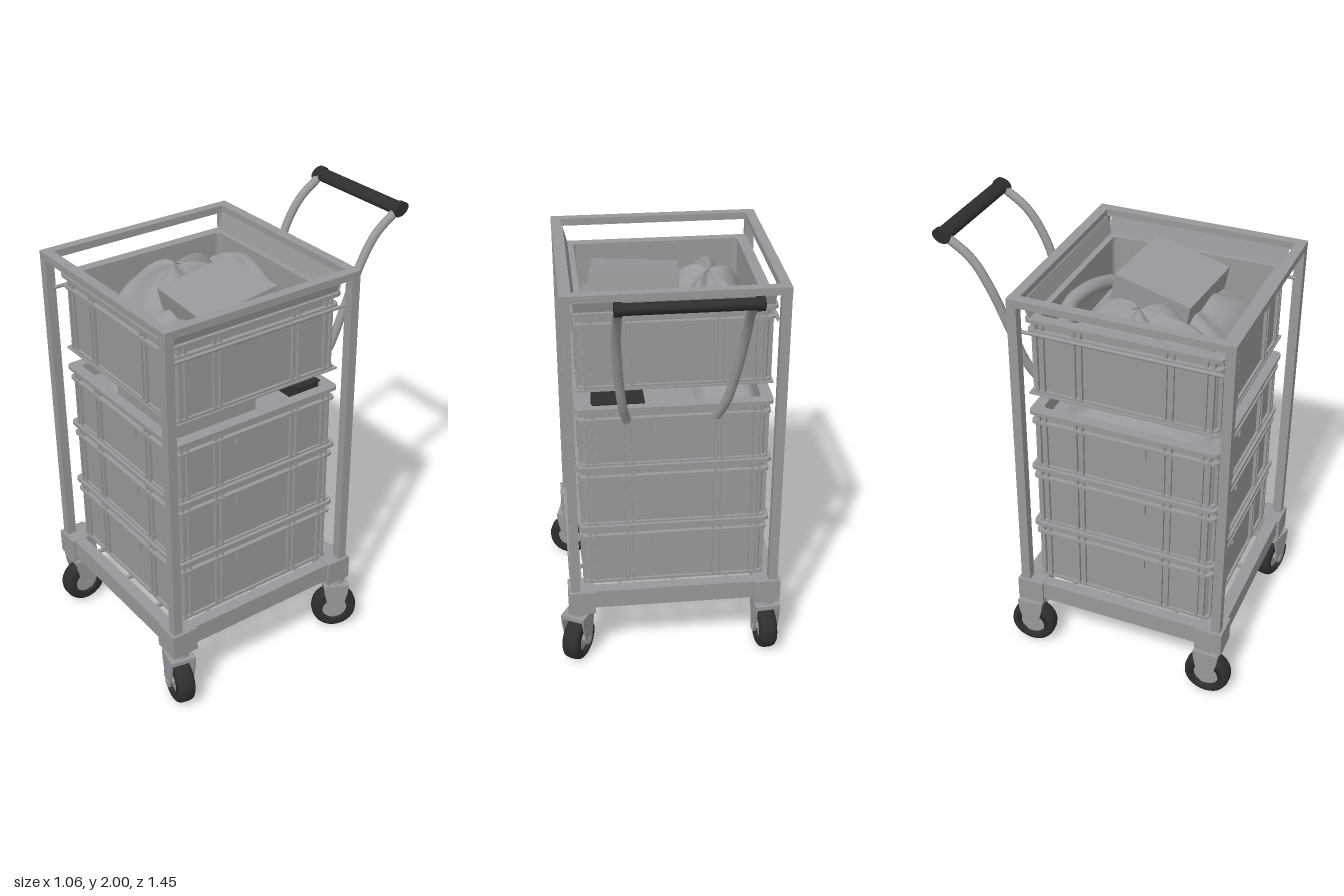
import * as THREE from 'three';
import { ParametricGeometry } from 'three/addons/geometries/ParametricGeometry.js';

const gray = new THREE.MeshStandardMaterial({ color: 0x97989b });
gray.name = 'gray metal and plastic';
const black = new THREE.MeshStandardMaterial({ color: 0x2e2e30 });
black.name = 'black rubber';

const CX = -0.027, CZ = 0.19; // centre of the stacked crates

function add(parent, name, geo, mat = gray, x = 0, y = 0, z = 0) {
  const m = new THREE.Mesh(geo, mat);
  m.name = name;
  m.position.set(x, y, z);
  parent.add(m);
  return m;
}

// box from min and max corners
function block(parent, name, a, b, mat = gray) {
  const g = new THREE.BoxGeometry(b[0] - a[0], b[1] - a[1], b[2] - a[2]);
  return add(parent, name, g, mat, (a[0] + b[0]) / 2, (a[1] + b[1]) / 2, (a[2] + b[2]) / 2);
}

function roundedRect(path, w, d, r) {
  path.moveTo(-w + r, -d);
  path.lineTo(w - r, -d).quadraticCurveTo(w, -d, w, -d + r);
  path.lineTo(w, d - r).quadraticCurveTo(w, d, w - r, d);
  path.lineTo(-w + r, d).quadraticCurveTo(-w, d, -w, d - r);
  path.lineTo(-w, -d + r).quadraticCurveTo(-w, -d, -w + r, -d);
  return path;
}

// hollow rectangular band of half size w x d, wall t, height h
function band(w, d, t, h, r = 0.03) {
  const s = roundedRect(new THREE.Shape(), w, d, r);
  s.holes.push(roundedRect(new THREE.Path(), w - t, d - t, r * 0.7));
  return new THREE.ExtrudeGeometry(s, { depth: h, bevelEnabled: false, curveSegments: 4 }).rotateX(-Math.PI / 2);
}

// ribbed open crate
function crate(y0, y1, grips) {
  const g = new THREE.Group();
  g.name = 'crate';
  g.position.set(CX, y0, CZ);
  const h = y1 - y0, w = 0.408, d = 0.402;
  add(g, 'crateWalls', band(w, d, 0.02, h - 0.005));
  block(g, 'crateFloor', [-w + 0.01, 0, -d + 0.01], [w - 0.01, 0.015, d - 0.01]);
  add(g, 'topRim', band(w + 0.028, d + 0.026, 0.05, 0.016), gray, 0, h - 0.016);
  add(g, 'lowerRim', band(w + 0.02, d + 0.02, 0.03, 0.012), gray, 0, h - 0.065);
  add(g, 'footBand', band(w + 0.012, d + 0.012, 0.02, 0.012), gray, 0, 0.002);
  for (let i = 0; i < 4; i++) {
    const side = new THREE.Group();
    side.name = 'crateSide';
    side.rotation.y = i * Math.PI / 2;
    g.add(side);
    const f = i % 2 ? w : d;
    for (const s of [-1, 1]) {
      for (const x of [0.185, 0.215, 0.355, 0.385]) {
        block(side, 'rib', [s * x - 0.006, 0.005, f - 0.005], [s * x + 0.006, h - 0.01, f + 0.014]);
      }
    }
    if (grips) {
      block(side, 'gripPlate', [-0.105, h - 0.12, f - 0.005], [0.105, h - 0.06, f + 0.013]);
      block(side, 'gripLip', [-0.09, h - 0.126, f - 0.005], [0.09, h - 0.12, f + 0.006]);
    }
  }
  return g;
}

// soft mound: outline points (x, z) counter-clockwise from above
function mound(parent, name, pts, y, h, wave = 0.02) {
  const c = new THREE.CatmullRomCurve3(pts.map(p => new THREE.Vector3(p[0], 0, p[1])), true);
  const mid = pts.reduce((m, p) => m.add(new THREE.Vector3(p[0], 0, p[1])), new THREE.Vector3()).divideScalar(pts.length);
  const geo = new ParametricGeometry((u, v, t) => {
    c.getPoint(u, t);
    const a = v * Math.PI / 2;
    t.lerp(mid, 1 - Math.cos(a));
    t.y = y + h * Math.sin(a) + wave * Math.sin(2 * a) * Math.sin(u * Math.PI * 10 + v * 3);
  }, 48, 12);
  return add(parent, name, geo);
}

function tube(parent, name, pts, r, mat = gray) {
  const c = new THREE.CatmullRomCurve3(pts.map(p => new THREE.Vector3(...p)));
  return add(parent, name, new THREE.TubeGeometry(c, 32, r, 12), mat);
}

// swivelling caster, wheel axis along its local x
function caster(x, z, turn) {
  const g = new THREE.Group();
  g.name = 'caster';
  g.position.set(x, 0, z);
  g.rotation.y = turn;
  const p = [[0.06, -0.04], [0.088, -0.042], [0.1, -0.033], [0.106, -0.015], [0.106, 0.015], [0.1, 0.033], [0.088, 0.042], [0.06, 0.04], [0.06, -0.04]];
  const tire = new THREE.LatheGeometry(p.map(q => new THREE.Vector2(q[0], q[1])), 28).rotateZ(Math.PI / 2);
  add(g, 'tire', tire, black, 0, 0.106);
  add(g, 'hub', new THREE.CylinderGeometry(0.07, 0.07, 0.05, 24).rotateZ(Math.PI / 2), gray, 0, 0.106);
  add(g, 'axle', new THREE.CylinderGeometry(0.016, 0.016, 0.125, 12).rotateZ(Math.PI / 2), gray, 0, 0.106);
  const s = new THREE.Shape();
  s.moveTo(-0.06, 0.255).lineTo(-0.055, 0.21).lineTo(-0.028, 0.1);
  s.quadraticCurveTo(0, 0.06, 0.028, 0.1).lineTo(0.055, 0.21).lineTo(0.06, 0.255);
  const plate = new THREE.ExtrudeGeometry(s, { depth: 0.008, bevelEnabled: false }).rotateY(Math.PI / 2);
  for (const side of [-0.058, 0.05]) add(g, 'forkPlate', plate, gray, side);
  block(g, 'forkTop', [-0.058, 0.235, -0.058], [0.058, 0.255, 0.058]);
  add(g, 'swivel', new THREE.CylinderGeometry(0.04, 0.045, 0.03, 20), gray, 0, 0.268);
  return g;
}

export function createModel() {
  const root = new THREE.Group();
  root.name = 'crateTrolley';
  const X0 = -0.507, X1 = 0.457, Z0 = -0.29, Z1 = 0.68;

  // frame: base and top rings, corner posts and corner blocks
  const frame = new THREE.Group();
  frame.name = 'frame';
  root.add(frame);
  const mx = (X0 + X1) / 2, mz = (Z0 + Z1) / 2, hw = (X1 - X0) / 2, hd = (Z1 - Z0) / 2;
  add(frame, 'baseFrame', band(hw, hd, 0.055, 0.09, 0.004), gray, mx, 0.3, mz);
  add(frame, 'topFrame', band(hw, hd, 0.045, 0.033, 0.004), gray, mx, 1.828, mz);
  for (const sx of [-1, 1]) {
    for (const sz of [-1, 1]) {
      const x = mx + sx * (hw - 0.022), z = mz + sz * (hd - 0.022);
      block(frame, 'post', [x - 0.021, 0.38, z - 0.021], [x + 0.021, 1.84, z + 0.021]);
      const bx = mx + sx * (hw - 0.05), bz = mz + sz * (hd - 0.05);
      block(frame, 'cornerBlock', [bx - 0.062, 0.275, bz - 0.062], [bx + 0.062, 0.392, bz + 0.062]);
    }
    const rx = mx + sx * (hw - 0.045);
    tube(frame, 'sideRod', [[rx, 1.695, Z0 + 0.03], [rx, 1.695, Z1 - 0.03]], 0.008);
  }
  for (const k of [-0.25, 0, 0.25]) {
    block(frame, 'deckBar', [X0 + 0.03, 0.365, mz + k - 0.008], [X1 - 0.03, 0.381, mz + k + 0.008]);
    block(frame, 'deckBar', [mx + k - 0.008, 0.372, Z0 + 0.03], [mx + k + 0.008, 0.388, Z1 - 0.03]);
  }

  // casters, each turned its own way
  root.add(caster(-0.46, 0.62, 0), caster(-0.46, -0.255, 0.08));
  root.add(caster(0.425, 0.64, Math.PI / 2 - 0.22), caster(0.43, -0.25, -0.5));

  // crates
  root.add(crate(0.39, 0.71, true), crate(0.705, 1.02, true), crate(1.015, 1.31, true), crate(1.4, 1.76, false));
  block(root, 'shelfPlate', [CX - 0.428, 1.394, CZ - 0.42], [CX + 0.428, 1.402, CZ + 0.42]);

  // sloping panels between the upper crate and the top frame
  const back = block(root, 'backPanel', [-0.45, 1.745, -0.233], [0.4, 1.835, -0.225]);
  back.rotation.x = -0.3;
  const sidePanel = block(root, 'sidePanel', [0.393, 1.745, -0.22], [0.401, 1.835, 0.61]);
  sidePanel.rotation.z = -0.25;

  // contents of the upper crate
  const load = new THREE.Group();
  load.name = 'upperLoad';
  root.add(load);
  mound(load, 'softBag', [[-0.35, -0.13], [-0.39, 0.08], [-0.4, 0.28], [-0.36, 0.45], [-0.23, 0.54],
    [-0.1, 0.46], [-0.03, 0.28], [-0.06, 0.05], [-0.1, -0.09], [-0.22, -0.14]], 1.5, 0.27, 0.03);
  mound(load, 'foldedCloth', [[-0.08, -0.13], [-0.1, 0.2], [-0.1, 0.5], [0.12, 0.52], [0.36, 0.52],
    [0.35, 0.2], [0.34, -0.1], [0.12, -0.14]], 1.5, 0.2);
  block(load, 'liner', [-0.41, 1.42, -0.19], [0.36, 1.51, 0.57]);
  tube(load, 'bagHandle', [[-0.36, 1.58, 0.0], [-0.33, 1.66, -0.11], [-0.2, 1.71, -0.15], [-0.05, 1.72, -0.12],
    [0.08, 1.69, -0.09]], 0.032);
  add(load, 'bagHandleEnd', new THREE.SphereGeometry(0.032, 12, 8), gray, 0.08, 1.69, -0.09);
  const carton = add(load, 'carton', new THREE.BoxGeometry(0.39, 0.14, 0.36), gray, 0.11, 1.72, 0.18);
  carton.rotation.set(0.2, -0.09, 0.05);

  // contents of the crate below it
  const low = new THREE.Group();
  low.name = 'lowerLoad';
  root.add(low);
  for (const [a, b] of [[-0.1, 0.0], [0.005, 0.1], [0.105, 0.26]]) {
    block(low, 'smallCarton', [a, 1.08, 0.1], [b, 1.372, 0.57]);
  }
  mound(low, 'lowerBag', [[-0.4, -0.1], [-0.4, 0.25], [-0.36, 0.5], [-0.22, 0.54], [-0.13, 0.4],
    [-0.12, 0.05], [-0.2, -0.14]], 1.2, 0.135, 0.01);
  block(low, 'lowerFill', [-0.41, 1.1, -0.19], [0.36, 1.24, 0.57]);
  block(low, 'darkPack', [0.1, 1.2, -0.2], [0.33, 1.316, -0.08], black);

  // push handle
  const handle = new THREE.Group();
  handle.name = 'pushHandle';
  root.add(handle);
  for (const [a, b, c] of [[-0.2, -0.265, -0.285], [0.19, 0.23, 0.24]]) {
    tube(handle, 'handleTube', [[a, 1.285, -0.295], [(a + b) / 2, 1.38, -0.345], [b, 1.56, -0.405],
      [c, 1.75, -0.475], [c, 1.88, -0.56], [c, 1.965, -0.68]], 0.02);
  }
  const grip = new THREE.Group();
  grip.name = 'grip';
  grip.position.set(-0.025, 1.968, -0.685);
  grip.rotation.x = 0.4;
  handle.add(grip);
  add(grip, 'gripBar', new THREE.CylinderGeometry(0.03, 0.03, 0.55, 20).rotateZ(Math.PI / 2).scale(1, 0.8, 1.15), black);
  for (const s of [-1, 1]) {
    add(grip, 'gripCap', new THREE.CylinderGeometry(0.034, 0.034, 0.03, 20).rotateZ(Math.PI / 2).scale(1, 0.85, 1.2), black, s * 0.271);
  }
  return root;
}
